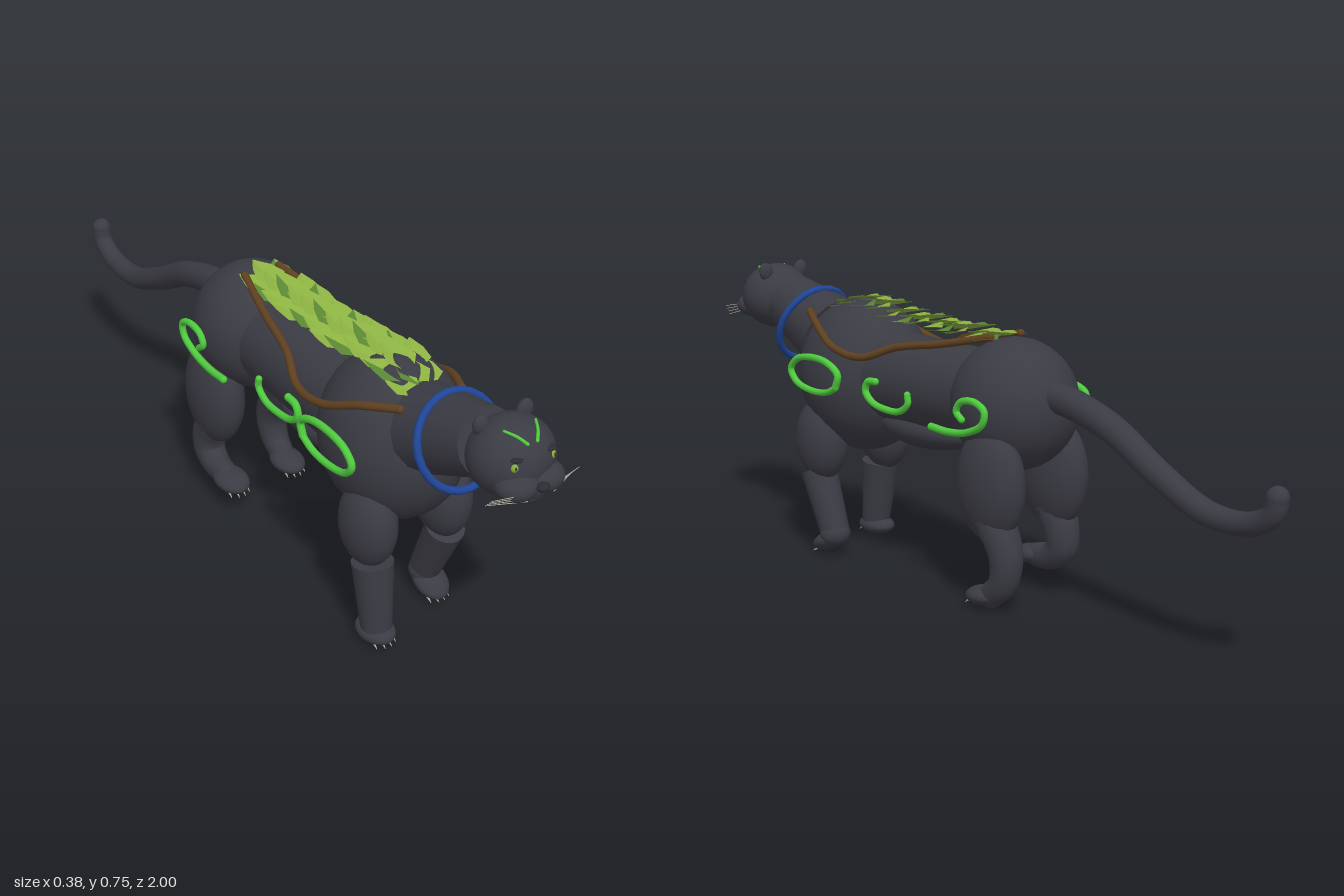
import * as THREE from 'three';

const mat = (name, color, side = THREE.FrontSide) => {
  const m = new THREE.MeshStandardMaterial({ color, side });
  m.name = name;
  return m;
};
const V = (p) => new THREE.Vector3(...p);

export function createModel() {
  const root = new THREE.Group();
  root.name = 'pantherWithLeaves';
  const fur = mat('charcoalFur', 0x3b3b44);
  const dark = mat('darkNose', 0x2c2c33);
  const blue = mat('collarBlue', 0x1f4596);
  const brown = mat('vineBrown', 0x5e4020);
  const glow = mat('brightGreen', 0x4fcb3e);
  const eyeGreen = mat('eyeGreen', 0x86ad30);
  const leafLight = mat('leafLight', 0x8db342, THREE.DoubleSide);
  const leafDark = mat('leafDark', 0x5c8a34, THREE.DoubleSide);
  const pale = mat('paleWhisker', 0xb8b0a0);

  const add = (name, geo, material) => {
    const m = new THREE.Mesh(geo, material);
    m.name = name;
    root.add(m);
    return m;
  };
  const ball = (name, material, pos, radii, rot = [0, 0, 0]) => {
    const m = add(name, new THREE.SphereGeometry(1, 28, 20), material);
    m.position.set(...pos);
    m.scale.set(...radii);
    m.rotation.set(...rot);
    return m;
  };
  // Tapered cylinder from a to b
  const limb = (name, material, a, b, ra, rb, sides = 20) => {
    const d = V(b).sub(V(a));
    const m = add(name, new THREE.CylinderGeometry(rb, ra, d.length(), sides), material);
    m.position.copy(V(a)).addScaledVector(d, 0.5);
    m.quaternion.setFromUnitVectors(new THREE.Vector3(0, 1, 0), d.normalize());
    return m;
  };
  // Tube through points, tapering from r0 to r1, with rounded ends
  const tube = (name, material, pts, r0, r1 = r0, seg = 48, sides = 12) => {
    const curve = new THREE.CatmullRomCurve3(pts.map(V));
    const geo = new THREE.TubeGeometry(curve, seg, r0, sides, false);
    const pos = geo.attributes.position, v = new THREE.Vector3();
    for (let i = 0; i < pos.count; i++) {
      const t = Math.floor(i / (sides + 1)) / seg;
      const c = curve.getPointAt(t);
      v.fromBufferAttribute(pos, i).sub(c).multiplyScalar((r0 + (r1 - r0) * t) / r0).add(c);
      pos.setXYZ(i, v.x, v.y, v.z);
    }
    add(name, geo, material);
    ball(name + 'Start', material, pts[0], [r0, r0, r0]);
    ball(name + 'End', material, pts[pts.length - 1], [r1, r1, r1]);
  };

  // Body
  ball('chest', fur, [0, 0.489, 0.465], [0.17, 0.207, 0.195]);
  ball('hips', fur, [0, 0.497, -0.135], [0.157, 0.165, 0.165]);
  limb('torso', fur, [0, 0.5, -0.05], [0, 0.5, 0.4], 0.115, 0.122, 28);
  ball('belly', fur, [0, 0.385, 0.2], [0.085, 0.055, 0.18]);
  limb('neck', fur, [0, 0.575, 0.6], [0, 0.645, 0.8], 0.107, 0.08, 14);
  tube('tail', fur, [[0, 0.54, -0.24], [0, 0.522, -0.36], [0, 0.485, -0.48], [0, 0.405, -0.63],
    [0, 0.345, -0.78], [0, 0.35, -0.91], [0, 0.385, -0.965], [0, 0.42, -0.972]], 0.039, 0.026);

  // Collar ring around the neck
  const collar = add('collar', new THREE.TorusGeometry(0.111, 0.0095, 12, 24), blue);
  collar.position.set(0, 0.596, 0.705);
  collar.rotation.x = -0.42;

  // Head
  ball('head', fur, [0, 0.657, 0.878], [0.1, 0.09, 0.092]);
  ball('chin', fur, [0, 0.602, 0.925], [0.05, 0.032, 0.048]);
  ball('nose', dark, [0, 0.634, 0.986], [0.016, 0.01, 0.013]);
  tube('mouth', dark, [[-0.035, 0.601, 0.965], [0, 0.605, 0.974], [0.035, 0.601, 0.965]], 0.003);

  for (const s of [-1, 1]) {
    const side = s > 0 ? 'left' : 'right';
    ball(side + 'Muzzle', fur, [s * 0.033, 0.627, 0.942], [0.052, 0.034, 0.046]);
    ball(side + 'Ear', fur, [s * 0.058, 0.73, 0.845], [0.021, 0.026, 0.014], [0, 0, -s * 0.25]);
    ball(side + 'Eye', eyeGreen, [s * 0.05, 0.678, 0.95], [0.009, 0.01, 0.008]);
    ball(side + 'Pupil', dark, [s * 0.052, 0.68, 0.957], [0.002, 0.005, 0.002]);
    ball(side + 'Eyelid', dark, [s * 0.046, 0.696, 0.951], [0.014, 0.005, 0.009], [0, s * 0.4, 0]);
    tube(side + 'BrowMark', glow, [[s * 0.013, 0.72, 0.943], [s * 0.027, 0.733, 0.926],
      [s * 0.042, 0.739, 0.9]], 0.004, 0.003, 12, 8);
    for (let i = 0; i < 4; i++) {
      limb(side + 'Whisker', pale, [s * 0.035, 0.608 + i * 0.006, 0.982],
        [s * 0.118, 0.607 + i * 0.007, 0.945 + i * 0.006], 0.0012, 0.0008, 5);
    }

    // Creeping vine along the flank
    tube(side + 'Vine', brown, [[0.085, 0.65, 0.6], [0.128, 0.628, 0.51], [0.157, 0.585, 0.4], [0.15, 0.572, 0.29],
      [0.115, 0.607, 0.19], [0.085, 0.63, 0.05], [0.05, 0.662, -0.1]].map(([x, y, z]) => [s * x, y, z]), 0.01);

    // Curling marks, each given as y, z points on a plane beside the body
    const swirl = (part, x, pts) =>
      tube(side + part, glow, pts.map(([y, z]) => [s * x, y, z]), 0.0095, 0.0085, 60, 10);
    swirl('ChestSwirl', 0.181, [[0.487, 0.36], [0.52, 0.35], [0.545, 0.39], [0.553, 0.46], [0.54, 0.53],
      [0.51, 0.558], [0.48, 0.535], [0.464, 0.47], [0.468, 0.4], [0.485, 0.36]]);
    swirl('FlankSwirl', 0.143, [[0.515, 0.24], [0.51, 0.272], [0.485, 0.282], [0.46, 0.255],
      [0.449, 0.2], [0.453, 0.14], [0.478, 0.108], [0.5, 0.11]]);
    swirl('HipSwirl', 0.168, [[0.443, -0.015], [0.44, -0.08], [0.45, -0.15], [0.478, -0.205],
      [0.51, -0.212], [0.528, -0.175], [0.52, -0.125], [0.495, -0.11], [0.478, -0.13]]);

    // Upper legs
    ball(side + 'FrontUpperLeg', fur, [s * 0.108, 0.312, 0.525], [0.063, 0.112, 0.084]);
    ball(side + 'Thigh', fur, [s * 0.105, 0.315, -0.165], [0.064, 0.145, 0.106]);
  }

  // Paw with four claws at its front
  const paw = (name, x, y, z, pitch) => {
    ball(name, fur, [x, y, z], [0.044, 0.025, 0.058], [pitch, 0, 0]);
    for (let i = 0; i < 4; i++) {
      const cx = x + (i - 1.5) * 0.018;
      const reach = 0.052 - Math.abs(i - 1.5) * 0.009;
      const cy = y - 0.008 - Math.sin(pitch) * reach, cz = z + Math.cos(pitch) * reach;
      limb(name + 'Claw', pale, [cx, cy, cz - 0.008], [cx, Math.max(cy - 0.012, 0.002), cz + 0.008], 0.004, 0.0005, 6);
    }
  };

  // Front lower legs: right planted, left stepping back
  limb('rightFrontShin', fur, [-0.109, 0.216, 0.548], [-0.109, 0.035, 0.572], 0.051, 0.038);
  paw('rightFrontPaw', -0.109, 0.028, 0.568, 0);
  limb('leftFrontShin', fur, [0.109, 0.225, 0.54], [0.109, 0.068, 0.472], 0.049, 0.04);
  ball('leftFrontAnkle', fur, [0.109, 0.06, 0.47], [0.043, 0.036, 0.038]);
  paw('leftFrontPaw', 0.109, 0.037, 0.493, 0.45);

  // Hind lower legs: left planted, right lifted
  tube('leftHindShin', fur, [[0.105, 0.23, -0.175], [0.106, 0.17, -0.215], [0.107, 0.12, -0.225],
    [0.108, 0.07, -0.21], [0.108, 0.035, -0.17]], 0.052, 0.032);
  paw('leftHindPaw', 0.108, 0.032, -0.15, 0.1);
  tube('rightHindShin', fur, [[-0.105, 0.23, -0.165], [-0.106, 0.17, -0.195], [-0.107, 0.125, -0.195],
    [-0.108, 0.095, -0.16], [-0.108, 0.085, -0.11]], 0.052, 0.032);
  paw('rightHindPaw', -0.108, 0.085, -0.085, 0.1);

  // Folded leaf: base at origin, tip toward -z, one half per colour
  const leafGeo = new THREE.BufferGeometry();
  const half = (s) => {
    const a = [0, 0, 0], b = [s * 0.045, 0.009, -0.055], c = [s * 0.03, 0.008, -0.1], d = [0, 0, -0.15];
    const f = s > 0 ? [a, b, d, b, c, d] : [a, d, b, b, d, c];
    return f.flat();
  };
  leafGeo.setAttribute('position', new THREE.Float32BufferAttribute([...half(1), ...half(-1)], 3));
  leafGeo.computeVertexNormals();
  leafGeo.addGroup(0, 6, 0);
  leafGeo.addGroup(6, 6, 1);

  // Overlapping leaves down the spine
  const rows = 12;
  for (let i = 0; i < rows; i++) {
    const t = i / (rows - 1);
    const z = 0.6 - t * 0.6;
    const y = 0.668 + 0.02 * Math.sin(Math.min(t * 2.6, 1) * Math.PI) - 0.018 * t;
    for (const s of [-1, 0, 1]) {
      const mats = (i + s) % 3 === 0 ? [leafLight, leafDark] : [leafLight, leafLight];
      const leaf = add('backLeaf', leafGeo, mats);
      leaf.position.set(s * 0.024, y - Math.abs(s) * 0.008, z - (s + 1) * 0.012);
      leaf.rotation.set(0.16 + 0.05 * Math.sin(i * 2.3), -s * (0.32 + 0.12 * Math.sin(i * 1.7)), -s * 0.15, 'YXZ');
      leaf.scale.setScalar(s === 0 ? 0.9 : 0.8);
    }
  }
  return root;
}
